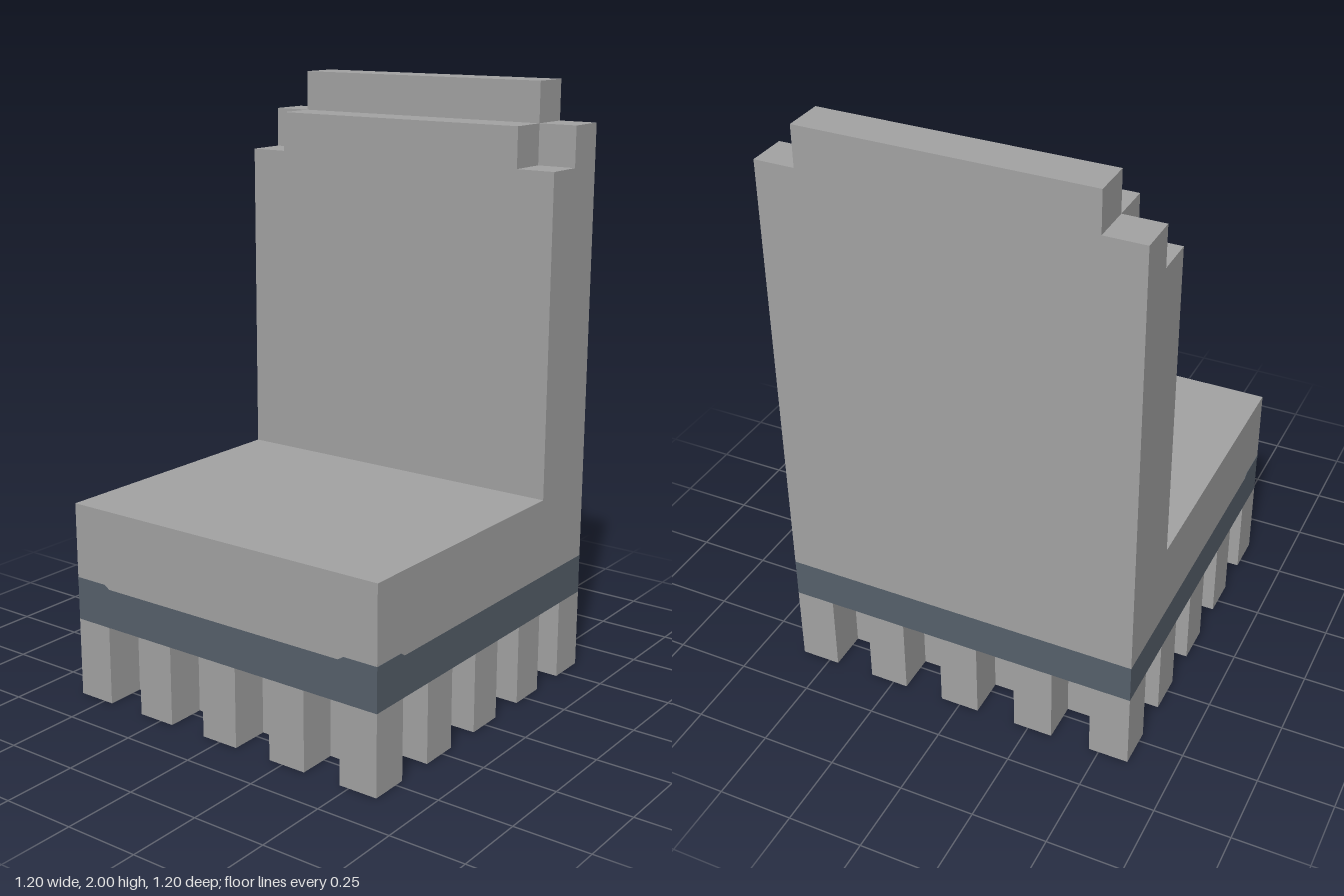
import * as THREE from 'three';

const U = 1.2 / 9;   // one grid cell; the footprint is 9 x 9 cells
const H = 0.6;       // half of the footprint

export function createModel() {
  const grey = new THREE.MeshStandardMaterial({ name: 'grey stone', color: 0xa2a2a2 });
  const slate = new THREE.MeshStandardMaterial({ name: 'slate blue', color: 0x56606b });
  const model = new THREE.Group();
  model.name = 'chair';

  const add = (name, geometry, material, parent = model) => {
    const mesh = new THREE.Mesh(geometry, material);
    mesh.name = name;
    parent.add(mesh);
    return mesh;
  };
  // Box standing on y0, centred on x and z
  const box = (name, w, y0, y1, d, material, x = 0, z = 0, parent = model) => {
    const mesh = add(name, new THREE.BoxGeometry(w, y1 - y0, d), material, parent);
    mesh.position.set(x, (y0 + y1) / 2, z);
    return mesh;
  };
  const extrude = (points, depth) => new THREE.ExtrudeGeometry(
    new THREE.Shape(points.map(([x, y]) => new THREE.Vector2(x, y))),
    { depth, bevelEnabled: false });

  // Base: solid core with square teeth on every second cell of its rim
  box('baseCore', 7 * U, 0, 2 * U, 7 * U, grey);
  const teeth = new THREE.Group();
  teeth.name = 'baseTeeth';
  model.add(teeth);
  for (let i = 0; i < 9; i += 2) {
    for (let j = 0; j < 9; j += 2) {
      if (i % 8 && j % 8) continue;
      box('baseTooth', U, 0, 2 * U, U, grey, (i - 4) * U, (j - 4) * U, teeth);
    }
  }

  // Coloured band and seat block
  box('band', 2 * H, 2 * U, 3 * U, 2 * H, slate);
  box('seat', 2 * H, 3 * U, 5 * U, 2 * H, grey);

  // Backrest: two slabs with notched upper corners, the rear one a cell taller
  const backSlab = (name, top, z) => {
    const w = H - U;
    const slab = add(name, extrude([
      [-H, 5 * U], [H, 5 * U], [H, top - U], [w, top - U],
      [w, top], [-w, top], [-w, top - U], [-H, top - U]], U), grey);
    slab.position.z = z;
  };
  backSlab('backrestRear', 15 * U, -H);
  backSlab('backrestFront', 14 * U, -H + U);

  // Band lifts slightly at the two front corners: thin plates on front and sides
  const lift = 0.413, t = 0.001;
  for (const s of [-1, 1]) {
    const ends = [[s * H, 0.4], [s * 0.46, 0.4], [s * 0.48, lift], [s * H, lift]];
    add('bandLiftFront', extrude(ends, t), slate).position.z = H;
    const side = add('bandLiftSide',
      extrude([[-H, 0.4], [-0.46, 0.4], [-0.48, lift], [-H, lift]], t), slate);
    side.rotation.y = Math.PI / 2;
    side.position.x = s > 0 ? H : -H - t;
  }
  return model;
}
